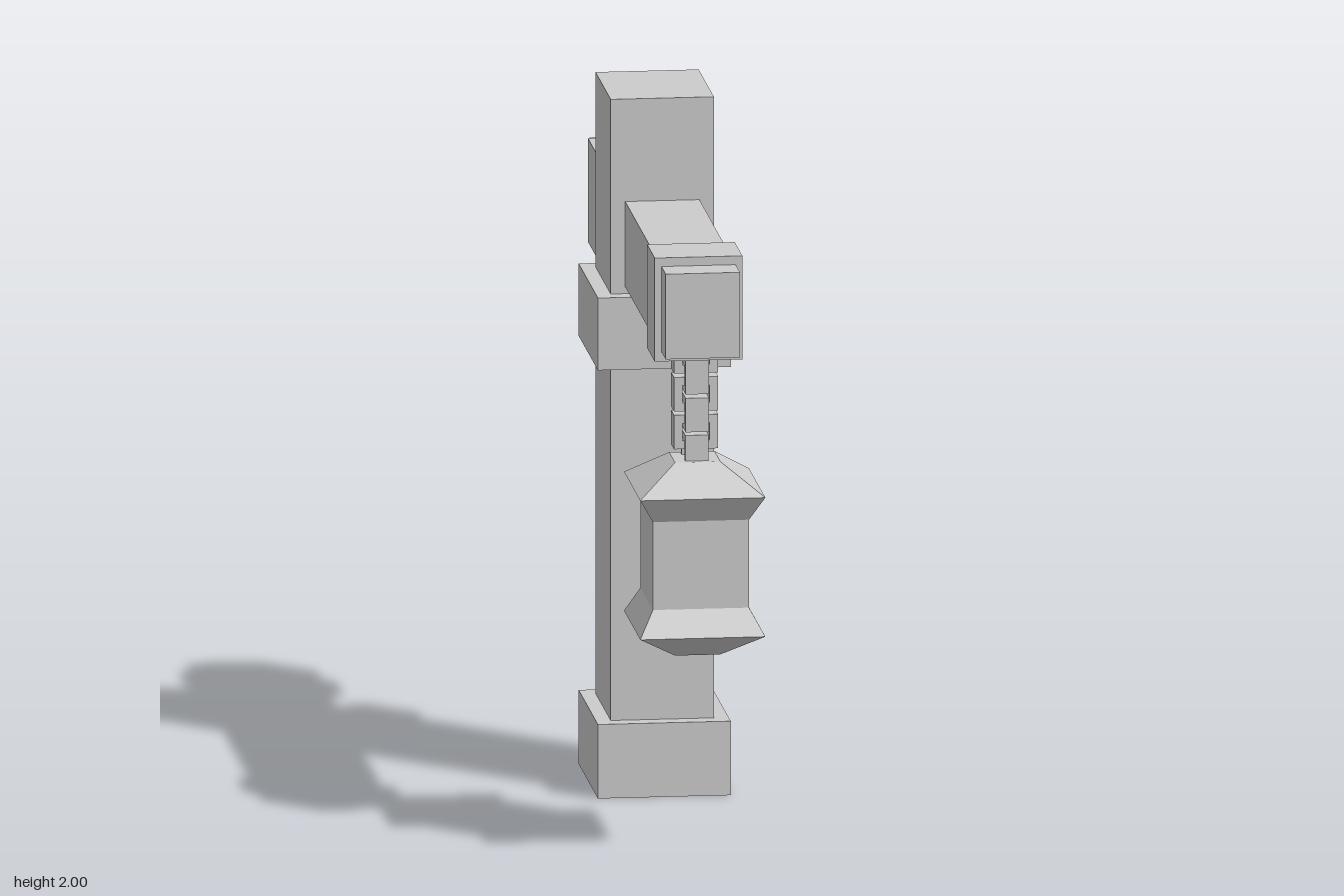
import * as THREE from 'three';

const material = new THREE.MeshStandardMaterial({ color: 0xcccccc, flatShading: true, side: THREE.DoubleSide });

const POST_Z = -0.233;
const LAMP_Z = 0.713;

function add(parent, name, geometry) {
  const mesh = new THREE.Mesh(geometry, material);
  mesh.name = name;
  parent.add(mesh);
  return mesh;
}

// Box given by its full width, its y range and its z range, centred on x = 0
function block(parent, name, width, [y0, y1], [z0, z1]) {
  const mesh = add(parent, name, new THREE.BoxGeometry(width, y1 - y0, z1 - z0));
  mesh.position.set(0, (y0 + y1) / 2, (z0 + z1) / 2);
  return mesh;
}

// Flat rectangular chain link with a rectangular hole, centred on the origin
function linkGeometry(width, height, depth, bar) {
  const rect = (path, w, h) => path
    .moveTo(-w / 2, -h / 2).lineTo(w / 2, -h / 2)
    .lineTo(w / 2, h / 2).lineTo(-w / 2, h / 2).closePath();
  const shape = new THREE.Shape();
  rect(shape, width, height);
  const hole = new THREE.Path();
  rect(hole, width - 2 * bar, height - 2 * bar);
  shape.holes.push(hole);
  return new THREE.ExtrudeGeometry(shape, { depth, bevelEnabled: false }).translate(0, 0, -depth / 2);
}

function createChain() {
  const chain = new THREE.Group();
  chain.name = 'chain';
  const geometry = linkGeometry(0.125, 0.098, 0.066, 0.024);
  // Links alternate between facing front and facing sideways
  for (let i = 0; i < 6; i++) {
    const link = add(chain, 'chainLink', geometry);
    link.position.set(0, 1.432 - i * 0.0544, LAMP_Z);
    if (i % 2) link.rotation.y = Math.PI / 2;
    if (i === 5) link.scale.x = 0.86;
  }
  return chain;
}

function createLantern() {
  const lantern = new THREE.Group();
  lantern.name = 'lantern';
  // Square turned profile: half width and height, from the bottom tip to the roof
  const profile = [
    [0, 0.58], [0.064, 0.58], [0.177, 0.655], [0.136, 0.73],
    [0.136, 0.983], [0.177, 1.055], [0.064, 1.135], [0, 1.135],
  ].map(([r, y]) => new THREE.Vector2(r * Math.SQRT2, y));
  const geometry = new THREE.LatheGeometry(profile, 4).rotateY(Math.PI / 4);
  add(lantern, 'lanternBody', geometry);
  lantern.scale.z = 1.09;
  lantern.position.z = LAMP_Z;
  return lantern;
}

export function createModel() {
  const model = new THREE.Group();
  model.name = 'lanternPost';

  // Post with its base and collar
  const around = (half) => [POST_Z - half, POST_Z + half];
  block(model, 'post', 0.292, [0.21, 2], around(0.18));
  block(model, 'collar', 0.376, [1.232, 1.44], around(0.228));
  const base = block(model, 'base', 0.376, [0, 0.213], around(0.228));
  // The base is hollow: drop its bottom face (the fourth group of a box)
  const index = Array.from(base.geometry.index.array);
  index.splice(18, 6);
  base.geometry.setIndex(index);
  base.geometry.clearGroups();

  // Crossbeam with a band near each end
  block(model, 'beam', 0.21, [1.46, 1.705], [-0.9, 0.905]);
  block(model, 'frontBand', 0.248, [1.432, 1.73], [0.624, 0.804]);
  block(model, 'backBand', 0.248, [1.432, 1.73], [-0.773, -0.588]);

  model.add(createChain(), createLantern());
  return model;
}
